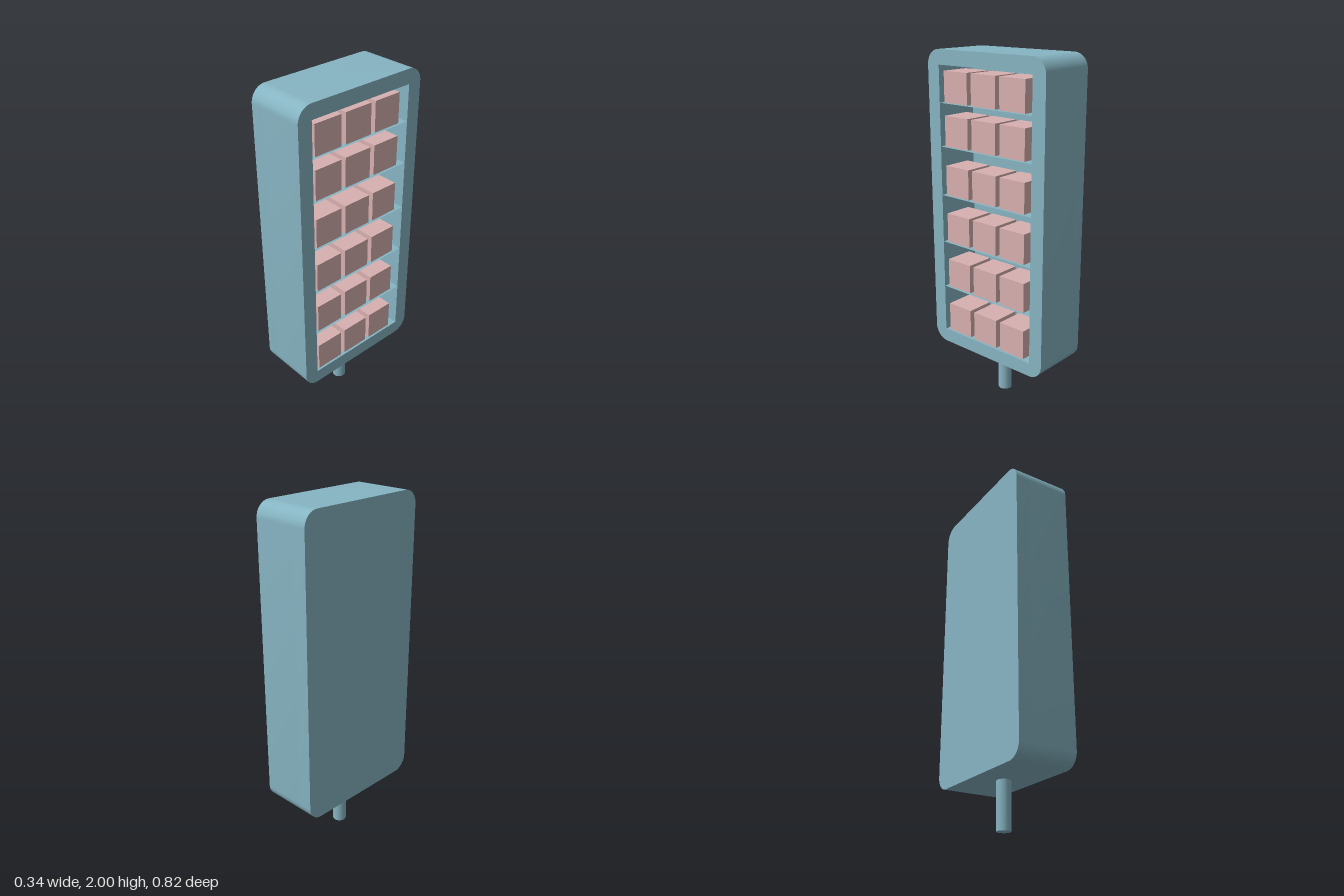
import * as THREE from 'three';
import { toCreasedNormals } from 'three/addons/utils/BufferGeometryUtils.js';

const bodyMat = new THREE.MeshStandardMaterial({ color: 0x86b4c2 });
const shelfMat = new THREE.MeshStandardMaterial({ color: 0x86b4c2, side: THREE.DoubleSide });
const boxMat = new THREE.MeshStandardMaterial({ color: 0xd8b0b0 });

const HALF_X = 0.172, HALF_Z = 0.408, BOTTOM = 0.265, TOP = 2, RADIUS = 0.085;
const OPEN_Z = 0.325, OPEN_BOTTOM = 0.345, OPEN_TOP = 1.918, RECESS_X = -0.09;

function add(parent, name, geometry, material, x = 0, y = 0, z = 0) {
  const mesh = new THREE.Mesh(geometry, material);
  mesh.name = name;
  mesh.position.set(x, y, z);
  parent.add(mesh);
  return mesh;
}

// Rounded outline of the housing, seen from its open side
function outline() {
  const s = new THREE.Shape();
  const w = HALF_Z - RADIUS, lo = BOTTOM + RADIUS, hi = TOP - RADIUS, q = Math.PI / 2;
  s.absarc(w, lo, RADIUS, -q, 0);
  s.absarc(w, hi, RADIUS, 0, q);
  s.absarc(-w, hi, RADIUS, q, 2 * q);
  s.absarc(-w, lo, RADIUS, 2 * q, 3 * q);
  s.closePath();
  return s;
}

// Extrude an outline along x from x0 to x1
function slab(shape, x0, x1) {
  const g = new THREE.ExtrudeGeometry(shape, { depth: x1 - x0, bevelEnabled: false, curveSegments: 12 });
  g.rotateY(Math.PI / 2).translate(x0, 0, 0);
  return toCreasedNormals(g, 0.6);
}

export function createModel() {
  const model = new THREE.Group();
  model.name = 'shelfCabinet';

  // Housing: solid back and a frame around the rectangular opening
  const housing = new THREE.Group();
  housing.name = 'housing';
  model.add(housing);
  add(housing, 'backPanel', slab(outline(), -HALF_X, RECESS_X), bodyMat);
  const rim = outline();
  const hole = new THREE.Path();
  hole.moveTo(-OPEN_Z, OPEN_BOTTOM);
  hole.lineTo(-OPEN_Z, OPEN_TOP);
  hole.lineTo(OPEN_Z, OPEN_TOP);
  hole.lineTo(OPEN_Z, OPEN_BOTTOM);
  hole.closePath();
  rim.holes.push(hole);
  add(housing, 'frame', slab(rim, RECESS_X, HALF_X), bodyMat);

  // Post under the housing
  const postHeight = BOTTOM + 0.02;
  add(model, 'post', new THREE.CylinderGeometry(0.04, 0.04, postHeight, 16), bodyMat, 0, postHeight / 2, 0);

  // Thin shelves, each with a row of three blocks
  const size = 0.171;
  const blockGeo = new THREE.BoxGeometry(size, size, size);
  const shelfGeo = new THREE.PlaneGeometry(HALF_X - RECESS_X, OPEN_Z * 2).rotateX(-Math.PI / 2);
  [0.346, 0.63, 0.911, 1.192, 1.473, 1.716].forEach((y, row) => {
    const level = new THREE.Group();
    level.name = `row${row + 1}`;
    model.add(level);
    if (row > 0) add(level, 'shelf', shelfGeo, shelfMat, (HALF_X + RECESS_X) / 2, y - 0.002, 0);
    for (const z of [0.215, 0.015, -0.185]) {
      add(level, 'block', blockGeo, boxMat, 0.16 - size / 2, y + size / 2, z);
    }
  });

  return model;
}
